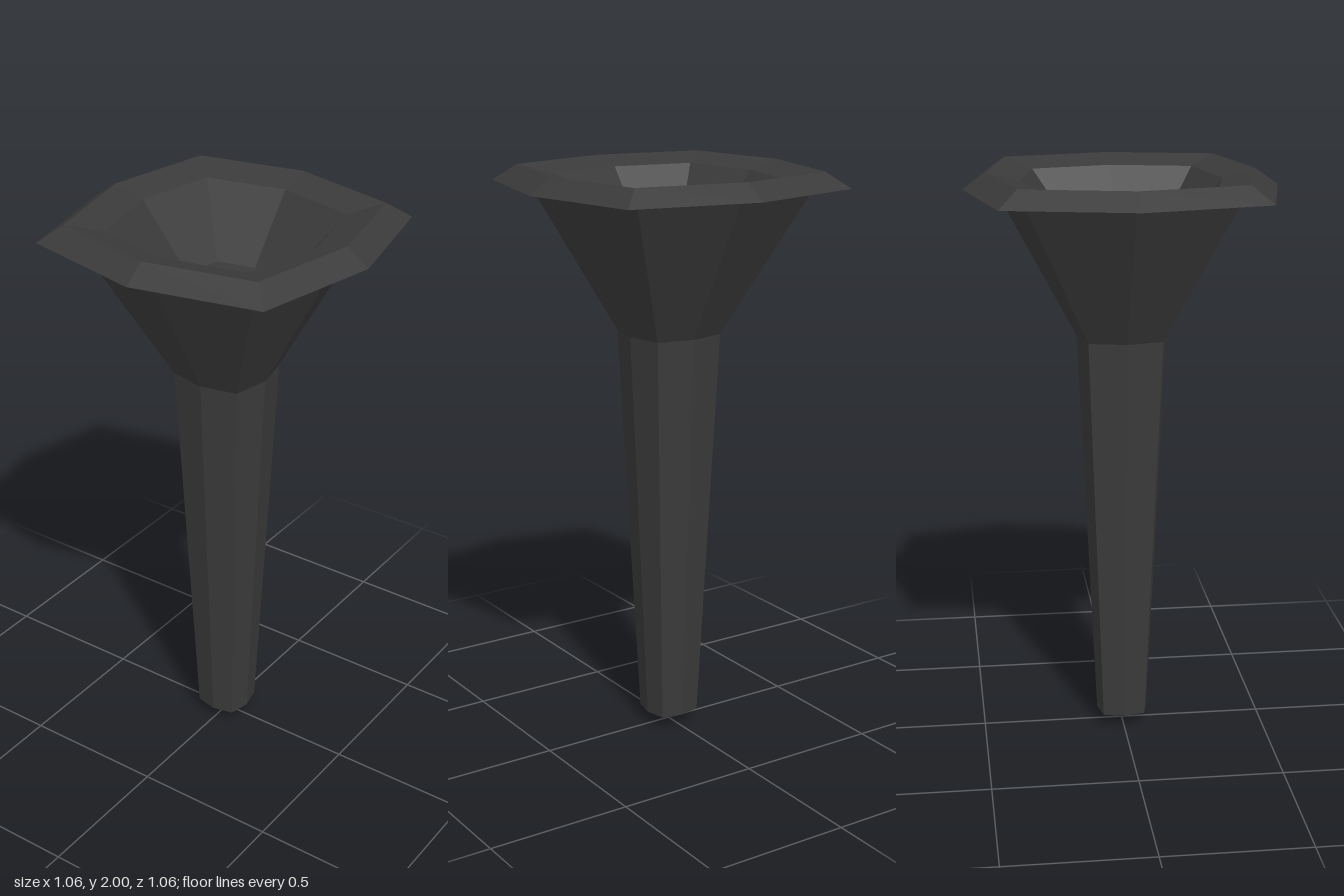
import * as THREE from 'three';

const SIDES = 8;
const CORNER_STRETCH = 1.16; // pushes the diagonal corners out towards a square

export function createModel() {
  const model = new THREE.Group();
  model.name = 'torch';

  const charcoal = new THREE.MeshStandardMaterial({
    color: 0x3a3a3a,
    flatShading: true,
    side: THREE.DoubleSide,
  });
  charcoal.name = 'charcoal';

  // Turns a [radius, y] profile into an eight-sided, squarish faceted shell.
  function addShell(name, profile) {
    const points = profile.map(([r, y]) => new THREE.Vector2(r, y));
    const lathe = new THREE.LatheGeometry(points, SIDES);
    const pos = lathe.attributes.position;
    for (let i = 0; i < pos.count; i++) {
      const x = pos.getX(i);
      const z = pos.getZ(i);
      if (Math.abs(x) > 1e-4 && Math.abs(z) > 1e-4) {
        pos.setX(i, x * CORNER_STRETCH);
        pos.setZ(i, z * CORNER_STRETCH);
      }
    }
    const geometry = lathe.toNonIndexed();
    geometry.computeVertexNormals();
    const mesh = new THREE.Mesh(geometry, charcoal);
    mesh.name = name;
    model.add(mesh);
  }

  // Tapered handle with a blunt pointed tip
  addShell('handle', [[0, 0], [0.09, 0.045], [0.155, 1.44]]);

  // Flared outer wall of the head
  addShell('funnel', [[0.155, 1.44], [0.452, 2]]);

  // Thin skirt hanging outwards from the lip
  addShell('rim', [[0.53, 1.945], [0.452, 2]]);

  // Shallow inner lip, sloping bowl and flat floor
  addShell('bowl', [[0.452, 2], [0.34, 1.97], [0.163, 1.75], [0, 1.75]]);

  return model;
}
